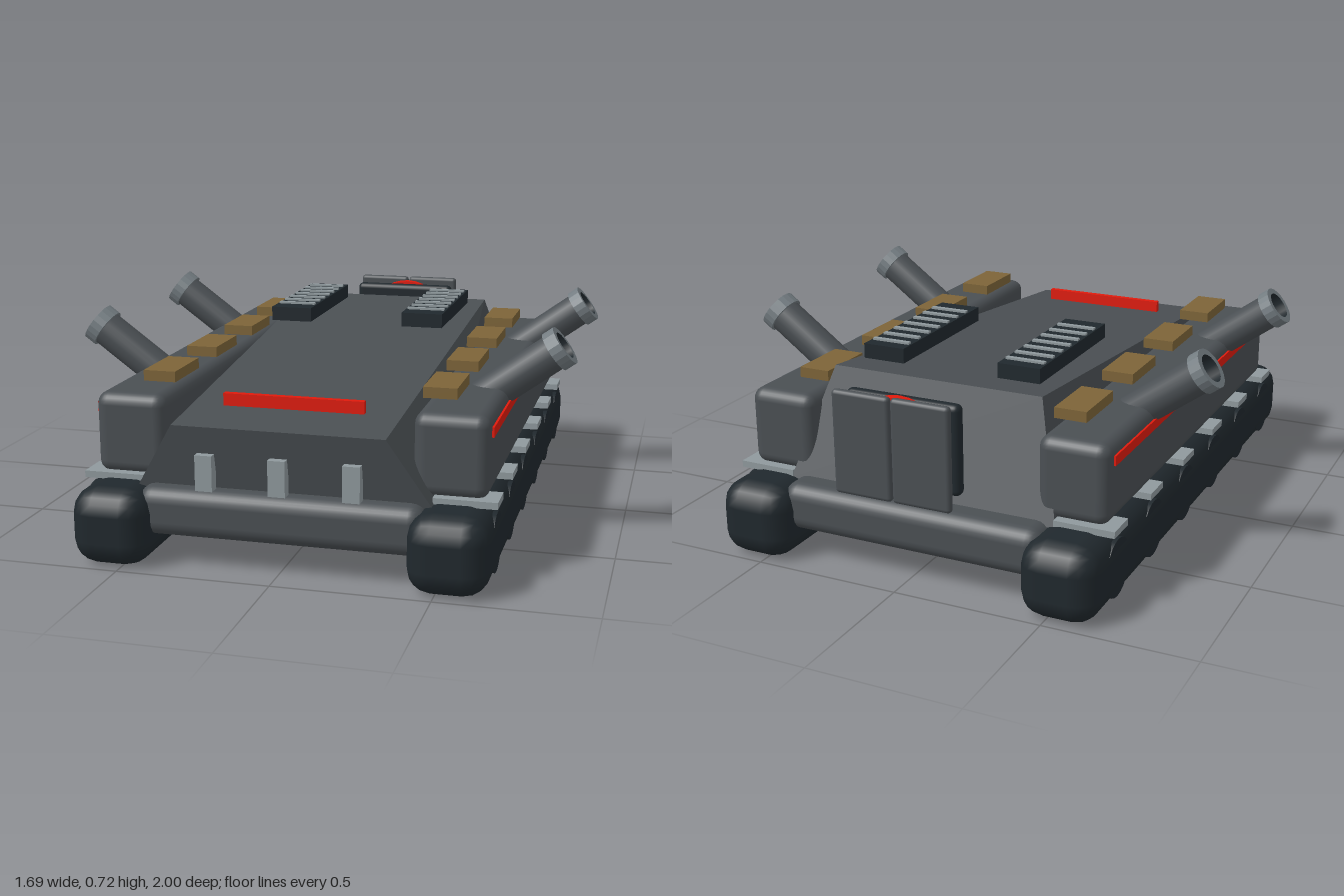
import * as THREE from 'three';
import { RoundedBoxGeometry } from 'three/addons/geometries/RoundedBoxGeometry.js';

const mat = (color, extra = {}) => {
  const m = new THREE.MeshStandardMaterial({ color, ...extra });
  return m;
};

export function createModel() {
  const root = new THREE.Group();
  root.name = 'hoverTank';
  const grey = mat(0x4a4f53);
  const greyFlat = mat(0x4a4f53, { flatShading: true });
  const dark = mat(0x20282d);
  const light = mat(0x8f999d);
  const red = mat(0xe01a0c);
  const tan = mat(0x7d6438);
  const inner = mat(0x20282d, { side: THREE.DoubleSide });

  const add = (name, geo, material, x, y, z, parent = root) => {
    const m = new THREE.Mesh(geo, material);
    m.name = name;
    m.position.set(x, y, z);
    parent.add(m);
    return m;
  };
  const box = (name, w, h, d, material, x, y, z, parent) =>
    add(name, new THREE.BoxGeometry(w, h, d), material, x, y, z, parent);
  const rounded = (name, w, h, d, r, seg, material, x, y, z, parent) =>
    add(name, new RoundedBoxGeometry(w, h, d, seg, r), material, x, y, z, parent);

  // Lower hull between the skirts
  rounded('lowerHull', 0.92, 0.16, 1.855, 0.05, 3, grey, 0, 0.175, 0);

  // Upper hull: a box whose eight corners are pulled into a wedge
  const hull = new THREE.BoxGeometry(1, 1, 1);
  const p = hull.attributes.position;
  for (let i = 0; i < p.count; i++) {
    const s = Math.sign(p.getX(i)), top = p.getY(i) > 0, front = p.getZ(i) > 0;
    if (top) p.setXYZ(i, s * (front ? 0.34 : 0.37), front ? 0.46 : 0.605, front ? 0.91 : -0.7);
    else p.setXYZ(i, s * 0.475, 0.24, front ? 0.86 : -0.835);
  }
  hull.computeVertexNormals();
  add('upperHull', hull, greyFlat, 0, 0, 0);

  // Front details
  box('frontStripe', 0.46, 0.04, 0.022, red, 0, 0.505, 0.72);
  for (const x of [-0.235, 0, 0.235]) box('frontPlate', 0.055, 0.115, 0.04, light, x, 0.313, 0.896);

  for (const s of [-1, 1]) {
    const side = new THREE.Group();
    side.name = s > 0 ? 'leftSide' : 'rightSide';
    root.add(side);

    // Skirt and sponson
    rounded('skirt', 0.255, 0.25, 2, 0.08, 2, dark, s * 0.5365, 0.125, 0, side);
    rounded('sponson', 0.235, 0.265, 1.63, 0.04, 3, grey, s * 0.5175, 0.39, 0, side);
    box('sideStripe', 0.012, 0.032, 1.54, red, s * 0.636, 0.466, 0, side);

    // Wheel discs and clamps along the skirt
    for (let i = 0; i < 6; i++) {
      const z = -0.78 + i * 0.312;
      const wheel = add('wheelDisc', new THREE.CylinderGeometry(0.096, 0.096, 0.2, 24), dark, s * 0.56, 0.125, z, side);
      wheel.rotation.z = Math.PI / 2;
      box('clamp', 0.2, 0.022, 0.11, light, s * 0.568, 0.256, z, side);
    }

    // Armour pads above the sponson
    for (let i = 0; i < 4; i++)
      box('armourPad', 0.108, 0.035, 0.216, tan, s * 0.46, 0.558, -0.585 + i * 0.39, side);

    // Roof vent with slats
    box('vent', 0.148, 0.05, 0.54, dark, s * 0.244, 0.633, -0.334, side);
    for (let i = 0; i < 7; i++)
      box('ventSlat', 0.135, 0.014, 0.017, light, s * 0.244, 0.658, -0.55 + i * 0.0675, side);

    // Launch tubes leaning outward
    for (const z of [-0.39, 0.39]) {
      const tube = new THREE.Group();
      tube.name = 'launchTube';
      tube.position.set(s * 0.545, 0.475, z);
      tube.rotation.z = -s * 0.94;
      side.add(tube);
      add('barrel', new THREE.CylinderGeometry(0.06, 0.06, 0.3, 20, 1, true), grey, 0, 0.14, 0, tube);
      const ring = [[0.06, 0], [0.069, 0], [0.069, 0.042], [0.048, 0.042]];
      const collar = new THREE.LatheGeometry(ring.map(a => new THREE.Vector2(...a)), 20);
      add('collar', collar, mat(0x737c81, { flatShading: true, side: THREE.DoubleSide }), 0, 0.28, 0, tube);
      const bore = [[0, -0.02], [0.048, -0.02], [0.048, 0.042]];
      add('bore', new THREE.LatheGeometry(bore.map(a => new THREE.Vector2(...a)), 20), inner, 0, 0.28, 0, tube);
    }
  }

  // Rear unit: backing panel, disc, hub and two doors
  const rear = new THREE.Group();
  rear.name = 'rearUnit';
  root.add(rear);
  rounded('rearPanel', 0.395, 0.296, 0.045, 0.02, 3, dark, 0, 0.472, -0.904, rear);
  const disc = add('rearDisc', new THREE.CylinderGeometry(0.16, 0.16, 0.03, 32), red, 0, 0.468, -0.941, rear);
  const hub = add('rearHub', new THREE.CylinderGeometry(0.06, 0.06, 0.02, 20), tan, 0, 0.468, -0.962, rear);
  disc.rotation.x = hub.rotation.x = Math.PI / 2;
  for (const s of [-1, 1])
    rounded('rearDoor', 0.2, 0.34, 0.028, 0.013, 2, grey, s * 0.102, 0.47, -0.983, rear);

  return root;
}
